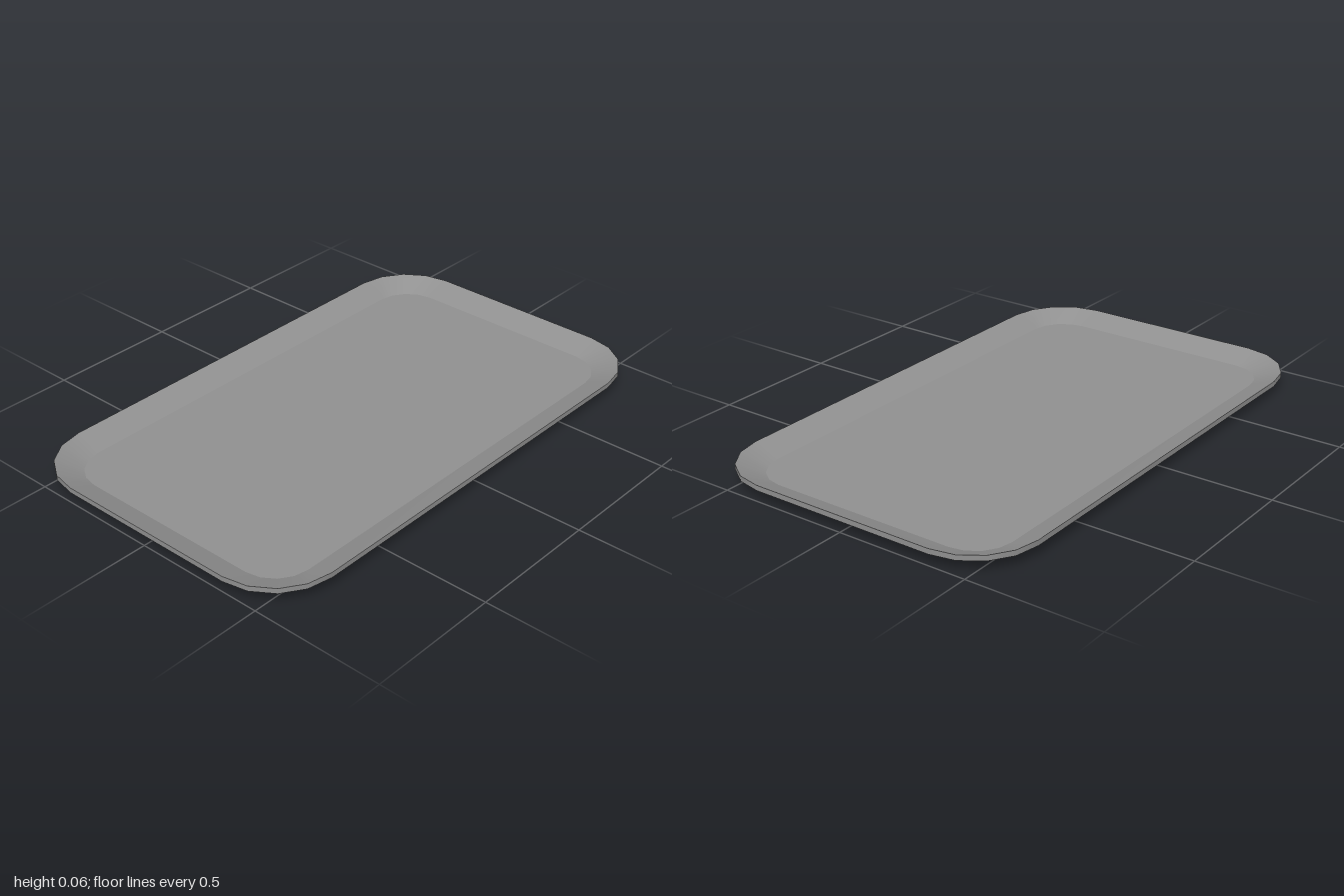
import * as THREE from 'three';

const CORNER_X = 0.36, CORNER_Z = 0.76, SEGMENTS = 4;

// Rounded rectangle whose corners share fixed centres; radius 0 and scale 0 collapses to a point
function outline(radius, y, scale = 1) {
  const points = [];
  const signs = [[1, 1], [-1, 1], [-1, -1], [1, -1]];
  signs.forEach(([sx, sz], corner) => {
    for (let i = 0; i <= SEGMENTS; i++) {
      const a = (corner + i / SEGMENTS) * Math.PI / 2;
      points.push([
        sx * CORNER_X * scale + Math.cos(a) * radius,
        y,
        sz * CORNER_Z * scale + Math.sin(a) * radius,
      ]);
    }
  });
  return points;
}

// Band between two outlines: smooth around the corners, sharp at its borders
function band(name, from, to, material) {
  const n = from.length, index = [];
  for (let j = 0; j < n; j++) {
    const k = (j + 1) % n;
    index.push(j, n + j, k, n + j, n + k, k);
  }
  const geometry = new THREE.BufferGeometry();
  geometry.setAttribute('position', new THREE.Float32BufferAttribute([...from, ...to].flat(), 3));
  geometry.setIndex(index);
  geometry.computeVertexNormals();
  const mesh = new THREE.Mesh(geometry, material);
  mesh.name = name;
  return mesh;
}

export function createModel() {
  const tray = new THREE.Group();
  tray.name = 'tray';
  const material = new THREE.MeshStandardMaterial({ color: 0x909090 });

  // Section from the underside centre, out to the rim and back to the floor centre
  const section = [
    outline(0, 0, 0),
    outline(0.14, 0),
    outline(0.24, 0.04),
    outline(0.24, 0.06),
    outline(0.14, 0.02),
    outline(0, 0.02, 0),
  ];
  const names = ['underside', 'outerSlope', 'rimEdge', 'innerSlope', 'floor'];
  names.forEach((name, i) => tray.add(band(name, section[i], section[i + 1], material)));
  return tray;
}
